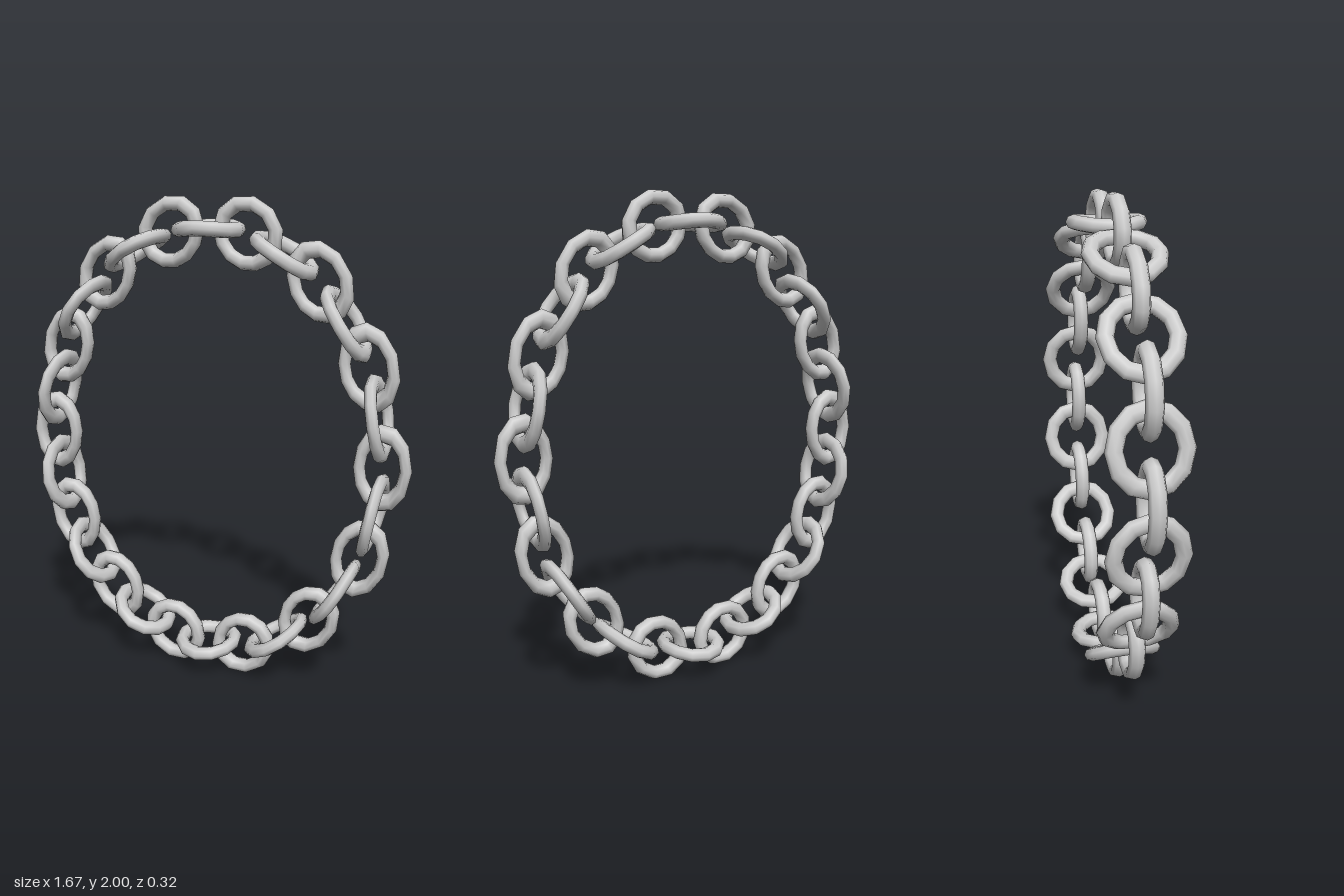
import * as THREE from 'three';
import { mergeVertices } from 'three/addons/utils/BufferGeometryUtils.js';

const LINKS = 28;
const RADIUS = 0.885;   // height radius of the loop
const X_SQUASH = 0.815; // narrows the loop into an oval
const RADIAL = 0.875;   // flattens the links towards the loop's middle
const STRETCH = 1.1;    // lengthens the links along the loop

// One ring, bent along the oval loop; x runs along the loop, y outward, z to the front.
function linkGeometry(angle, crosswise) {
  let geo = new THREE.TorusGeometry(0.127, 0.033, 8, 12);
  if (crosswise) geo.rotateX(Math.PI / 2);
  geo.deleteAttribute('uv');
  geo.deleteAttribute('normal');
  geo = mergeVertices(geo, 1e-5);
  const pos = geo.attributes.position;
  for (let i = 0; i < pos.count; i++) {
    const a = angle + (pos.getX(i) * STRETCH) / RADIUS;
    const r = RADIUS + pos.getY(i) * RADIAL;
    pos.setXYZ(i, X_SQUASH * r * Math.sin(a), 1 + r * Math.cos(a), pos.getZ(i));
  }
  geo.computeVertexNormals();
  return geo;
}

export function createModel() {
  const group = new THREE.Group();
  group.name = 'chainLoop';
  const material = new THREE.MeshStandardMaterial({ color: 0xcccccc });

  // Links alternate between lying crosswise and lying flat in the loop's plane
  for (let k = 0; k < LINKS; k++) {
    const crosswise = k % 2 === 0;
    const link = new THREE.Mesh(linkGeometry((k / LINKS) * Math.PI * 2, crosswise), material);
    link.name = (crosswise ? 'crosswiseLink' : 'flatLink') + (Math.floor(k / 2) + 1);
    group.add(link);
  }
  return group;
}
